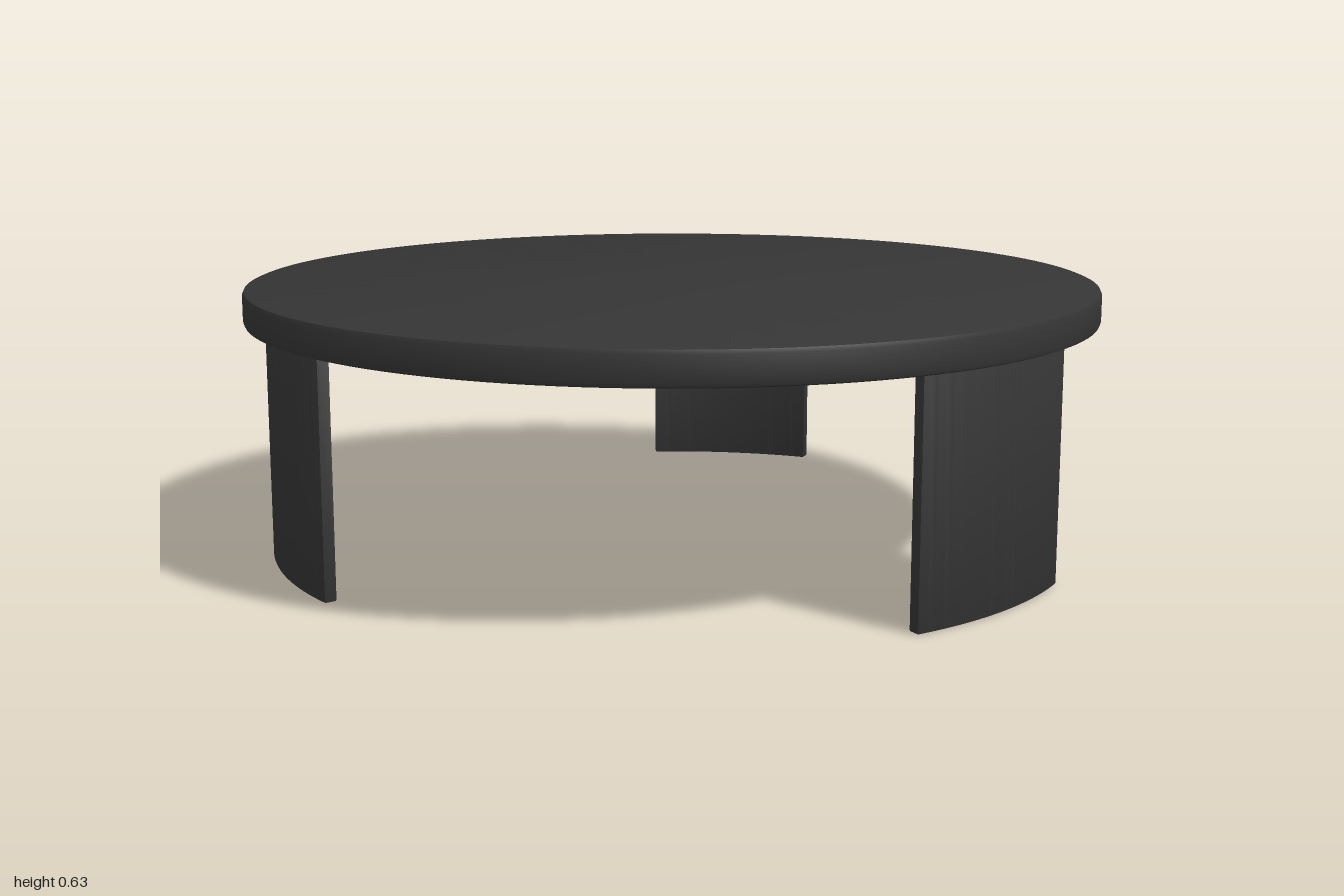
import * as THREE from 'three';
import { toCreasedNormals } from 'three/addons/utils/BufferGeometryUtils.js';

const TOP_Y = 0.63, UNDER_Y = 0.55;
const LEG_OUTER = 0.96, LEG_INNER = 0.932, LEG_CENTRE_Z = -0.025;

// Solid of revolution with crisp edges, from [radius, height] pairs
function turned(profile) {
  const points = profile.map(([r, y]) => new THREE.Vector2(r, y));
  return toCreasedNormals(new THREE.LatheGeometry(points, 128), 0.5);
}

// Upright curved panel; angles in degrees measured from +z towards +x
function curvedPanel(middle, half) {
  const start = THREE.MathUtils.degToRad(90 - middle - half);
  const end = THREE.MathUtils.degToRad(90 - middle + half);
  const bevel = 0.004;
  const shape = new THREE.Shape();
  shape.absarc(0, 0, LEG_OUTER, start, end, false);
  shape.absarc(0, 0, LEG_INNER, end, start, true);
  shape.closePath();
  const geometry = new THREE.ExtrudeGeometry(shape, {
    depth: UNDER_Y - 2 * bevel, curveSegments: 24,
    bevelEnabled: true, bevelSize: bevel, bevelThickness: bevel,
    bevelOffset: -bevel, bevelSegments: 2,
  });
  geometry.rotateX(Math.PI / 2);
  geometry.translate(0, UNDER_Y - bevel, LEG_CENTRE_Z);
  return toCreasedNormals(geometry, 0.6);
}

export function createModel() {
  const model = new THREE.Group();
  model.name = 'roundCoffeeTable';
  const charcoal = new THREE.MeshStandardMaterial({ color: 0x353535 });
  charcoal.name = 'charcoal';

  const add = (name, geometry) => {
    const mesh = new THREE.Mesh(geometry, charcoal);
    mesh.name = name;
    model.add(mesh);
  };

  // Round top with softly eased edges
  add('tableTop', turned([
    [0, UNDER_Y], [0.988, UNDER_Y], [0.9965, UNDER_Y + 0.0035], [1, UNDER_Y + 0.012],
    [1, TOP_Y - 0.012], [0.9965, TOP_Y - 0.0035], [0.988, TOP_Y], [0, TOP_Y],
  ]));

  // Thin disc under the top
  add('undersideDisc', turned([
    [0, UNDER_Y - 0.005], [0.8, UNDER_Y - 0.005], [0.8, UNDER_Y + 0.005],
  ]));

  // Three curved panel legs following the rim
  add('backLeg', curvedPanel(180, 13.3));
  add('frontLeftLeg', curvedPanel(57, 15.5));
  add('frontRightLeg', curvedPanel(-57, 15.5));

  return model;
}
